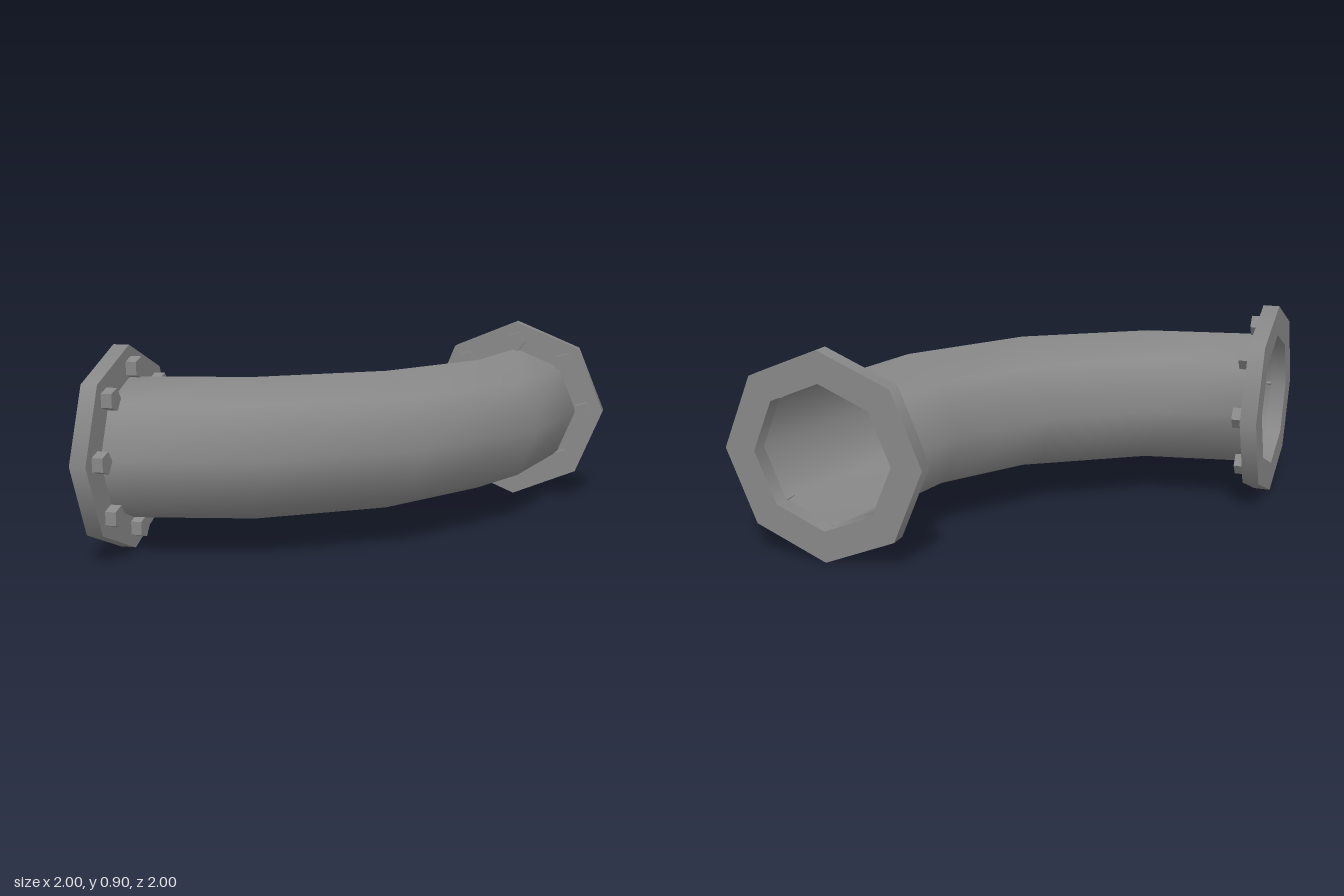
import * as THREE from 'three';
import { mergeGeometries } from 'three/addons/utils/BufferGeometryUtils.js';

const SIDES = 8;
const AXIS_Y = 0.45;      // height of the pipe's centre line
const PIPE_R = 0.313;
const FLANGE_R = 0.45;
const THICK = 0.073;      // flange thickness; the pipe starts at its inner face
const BOLT_RING = 0.352;

// Eight-sided bend swept through five rings around the corner (-1, -1)
function bendGeometry() {
  const centres = [[-1 + THICK, 0.55]];
  for (let i = 1; i < 4; i++) {
    const a = (i * Math.PI) / 8;
    centres.push([-1 + 1.562 * Math.sin(a), -1 + 1.562 * Math.cos(a)]);
  }
  centres.push([0.55, -1 + THICK]);

  const pos = [], index = [];
  centres.forEach(([cx, cz], i) => {
    const a = (i * Math.PI) / 8;
    for (let j = 0; j < SIDES; j++) {
      const t = (j / SIDES) * Math.PI * 2;
      const out = PIPE_R * Math.cos(t);
      pos.push(cx + out * Math.sin(a), AXIS_Y + PIPE_R * Math.sin(t), cz + out * Math.cos(a));
      if (i === 0) continue;
      const k = (j + 1) % SIDES, p = (i - 1) * SIDES, q = i * SIDES;
      index.push(p + j, q + j, q + k, p + j, q + k, p + k);
    }
  });
  const geo = new THREE.BufferGeometry();
  geo.setAttribute('position', new THREE.Float32BufferAttribute(pos, 3));
  geo.setIndex(index);
  geo.computeVertexNormals();
  return geo;
}

// Octagonal ring; every profile segment is its own band so the rims stay sharp
function flangeGeometry() {
  const profile = [[FLANGE_R, 0], [FLANGE_R, THICK], [PIPE_R, THICK], [PIPE_R, 0]];
  const geo = mergeGeometries(profile.map((p, i) => {
    const q = profile[(i + 1) % profile.length];
    return new THREE.LatheGeometry([new THREE.Vector2(...p), new THREE.Vector2(...q)], SIDES);
  }));
  geo.normalizeNormals();
  return geo;
}

export function createModel() {
  const model = new THREE.Group();
  model.name = 'pipeBend';
  const smooth = new THREE.MeshStandardMaterial({ color: 0x888888, side: THREE.DoubleSide });
  const flat = new THREE.MeshStandardMaterial({ color: 0x888888, flatShading: true });

  const add = (parent, name, geo, mat) => {
    const mesh = new THREE.Mesh(geo, mat);
    mesh.name = name;
    parent.add(mesh);
    return mesh;
  };

  add(model, 'bend', bendGeometry(), smooth);

  // Flange with five-sided bolt heads; its local y points into the pipe
  const ringGeo = flangeGeometry();
  const boltGeo = new THREE.CylinderGeometry(0.05, 0.05, 0.05, 5).rotateY(Math.PI / 2);
  const addFlange = (name, x, z, turn) => {
    const holder = new THREE.Group();
    holder.name = name;
    holder.position.set(x, AXIS_Y, z);
    holder.rotation.y = turn;
    const flange = new THREE.Group();
    flange.name = name + 'Body';
    flange.rotation.x = Math.PI / 2;
    add(flange, 'flangeRing', ringGeo, smooth);
    for (let i = 0; i < 8; i++) {
      const a = (i * Math.PI) / 4;
      add(flange, 'bolt', boltGeo, flat)
        .position.set(BOLT_RING * Math.cos(a), THICK + 0.023, BOLT_RING * Math.sin(a));
    }
    holder.add(flange);
    model.add(holder);
  };
  addFlange('backFlange', 0.55, -1, 0);
  addFlange('rightFlange', -1, 0.55, Math.PI / 2);

  return model;
}
